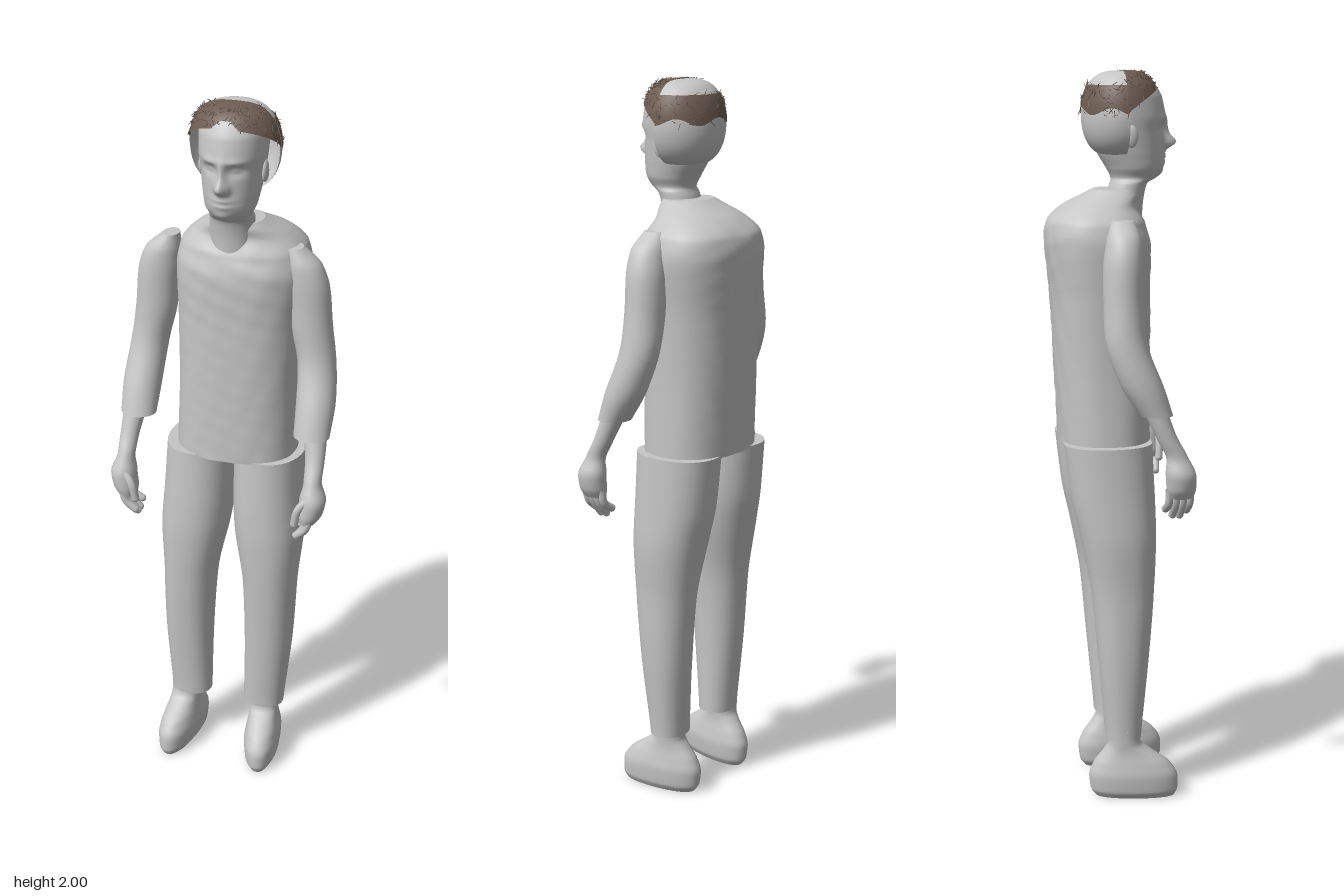
import * as THREE from 'three';
import { mergeGeometries } from 'three/addons/utils/BufferGeometryUtils.js';

const plaster = new THREE.MeshStandardMaterial({ color: 0xc6c6c6, side: THREE.DoubleSide });
plaster.name = 'plaster grey';
const hairBrown = new THREE.MeshStandardMaterial({ color: 0x6e5d53, side: THREE.DoubleSide });
hairBrown.name = 'hair brown';

// Smooth grid surface from point(u, v); u runs around, v runs upward
function surface(point, nu, nv, closed) {
  const pos = [], idx = [], cols = closed ? nu : nu + 1;
  for (let i = 0; i <= nv; i++)
    for (let j = 0; j < cols; j++) pos.push(...point(j / nu, i / nv));
  for (let i = 0; i < nv; i++)
    for (let j = 0; j < nu; j++) {
      const a = i * cols + j, b = i * cols + (j + 1) % cols;
      idx.push(a, b, a + cols, b, b + cols, a + cols);
    }
  const g = new THREE.BufferGeometry();
  g.setAttribute('position', new THREE.Float32BufferAttribute(pos, 3));
  g.setIndex(idx);
  g.computeVertexNormals();
  return g;
}

// Body form through superellipse sections [y, x, z, rx, rz], listed bottom to top
function loft(sections, { segs = 32, steps = 5, power = 2, side = 1, bump } = {}) {
  const mid = new THREE.CatmullRomCurve3(sections.map(([y, x, z]) => new THREE.Vector3(x * side, y, z)));
  const rad = new THREE.CatmullRomCurve3(sections.map((s) => new THREE.Vector3(s[3], s[4], 0)));
  const bend = (v) => Math.sign(v) * Math.abs(v) ** (2 / power);
  const point = (u, v) => {
    const c = mid.getPoint(v), r = rad.getPoint(v), a = u * Math.PI * 2;
    const p = [c.x + r.x * bend(Math.sin(a)), c.y, c.z + r.y * bend(Math.cos(a))];
    if (bump) bump(p, c);
    return p;
  };
  const cap = (v) => surface((u, t) => {
    const p = point(u, v), c = mid.getPoint(v), k = v ? 1 - t : t;
    return [c.x + (p[0] - c.x) * k, p[1], c.z + (p[2] - c.z) * k];
  }, segs, 1, true);
  return mergeGeometries([surface(point, segs, steps * (sections.length - 1), true), cap(0), cap(1)]);
}

// Rounded finger along a short path
function finger(points, r, side) {
  const pts = points.map(([x, y, z]) => new THREE.Vector3(x * side, y, z));
  const tip = new THREE.SphereGeometry(r, 10, 8);
  const end = pts[pts.length - 1];
  tip.translate(end.x, end.y, end.z);
  return mergeGeometries([new THREE.TubeGeometry(new THREE.CatmullRomCurve3(pts), 8, r, 10), tip]);
}

// Boxy skull dome: a turns from the front, p is the elevation, s the scale
function dome(a, p, s = 1) {
  const r = Math.max(Math.cos(p), 0) ** 0.6 * s, h = Math.sin(p);
  return [0.015 + 0.12 * r * Math.sin(a), 1.88 + (h > 0 ? 0.118 : 0.11) * h * s, 0.025 + 0.108 * r * Math.cos(a)];
}

// Facial relief: [x, y, width, height, depth]
const face = [
  [0, 1.808, 0.011, 0.012, 0.03], [0, 1.838, 0.008, 0.022, 0.015],
  [0.013, 1.802, 0.006, 0.007, 0.008], [-0.013, 1.802, 0.006, 0.007, 0.008],
  [0, 1.763, 0.02, 0.011, 0.01], [0, 1.763, 0.02, 0.003, -0.007],
  [0.034, 1.85, 0.015, 0.01, -0.011], [-0.034, 1.85, 0.015, 0.01, -0.011],
  [0.034, 1.85, 0.008, 0.005, 0.006], [-0.034, 1.85, 0.008, 0.005, 0.006],
  [0.034, 1.873, 0.016, 0.006, 0.005], [-0.034, 1.873, 0.016, 0.006, 0.005],
  [0, 1.728, 0.016, 0.01, 0.007],
];

export function createModel() {
  const model = new THREE.Group();
  const add = (name, geometry, material = plaster) => {
    const m = new THREE.Mesh(geometry, material);
    m.name = name;
    model.add(m);
    return m;
  };
  let seed = 7;
  const rand = () => (seed = (seed * 16807) % 2147483647) / 2147483647;

  // Shirt with soft wrinkles
  add('shirt', loft([
    [1.0, 0.008, -0.025, 0.168, 0.125], [1.2, 0.012, -0.03, 0.165, 0.13],
    [1.4, 0.015, -0.035, 0.17, 0.135], [1.54, 0.02, -0.041, 0.18, 0.142],
    [1.6, 0.02, -0.045, 0.168, 0.13], [1.64, 0.02, -0.035, 0.13, 0.1],
    [1.67, 0.017, -0.005, 0.09, 0.075], [1.685, 0.015, 0.008, 0.072, 0.06],
  ], {
    segs: 64, steps: 8, power: 2.4,
    bump: (p, c) => {
      const w = 1 + 0.012 * Math.sin(p[0] * 60 + p[1] * 35) * Math.sin(p[1] * 70 - p[0] * 25);
      p[2] = c.z + (p[2] - c.z) * w;
    },
  }));

  // Head and neck with sculpted face
  add('head', loft([
    [1.6, 0.01, 0.03, 0.058, 0.05], [1.66, 0.01, 0.035, 0.06, 0.05],
    [1.7, 0.013, 0.045, 0.06, 0.051], [1.715, 0.015, 0.058, 0.056, 0.062],
    [1.74, 0.015, 0.06, 0.067, 0.076], [1.78, 0.015, 0.05, 0.075, 0.09],
    [1.84, 0.015, 0.04, 0.083, 0.1], [1.88, 0.015, 0.037, 0.088, 0.108],
    [1.93, 0.015, 0.03, 0.09, 0.105], [1.97, 0.015, 0.025, 0.078, 0.085],
    [1.988, 0.015, 0.025, 0.04, 0.04],
  ], {
    segs: 112, steps: 8,
    bump: (p, c) => {
      if (p[2] < c.z) return;
      for (const [x, y, w, h, d] of face)
        p[2] += d * Math.exp(-(((p[0] - 0.015 - x) / w) ** 2 + ((p[1] - y) / h) ** 2) / 2);
    },
  }));

  // Shell behind the skull, open to the front
  add('headShell', surface((u, v) => dome(Math.PI * (0.48 + 1.04 * u), -1.25 + 2.82 * v), 40, 24));

  // Hair: arched front cap and a band around the back
  const hairline = (a) => 0.06 + 0.6 * Math.max(Math.cos(a), 0) ** 0.8;
  add('frontHair', surface((u, v) => {
    const a = Math.PI * (u - 0.5), p0 = hairline(a);
    return dome(a, p0 + (1.57 - p0) * v, 1.01);
  }, 36, 12), hairBrown);
  add('backHair', surface((u, v) => dome(Math.PI * (0.5 + u), 0.03 + 0.16 * Math.sin(u * 9) ** 2 * (1 - v) + 0.72 * v, 1.02), 36, 8), hairBrown);

  // Loose strands lying across the hair
  const strands = [];
  for (let i = 0; i < 260; i++) {
    const front = i % 5 < 3;
    const a = Math.PI * (front ? rand() - 0.5 : 0.5 + rand());
    const low = front ? hairline(a) : 0.05;
    const p = low + rand() * ((front ? 1.3 : 0.75) - low);
    const from = new THREE.Vector3(...dome(a, p, 1.015));
    const to = new THREE.Vector3(...dome(a + (rand() - 0.5) * 0.35, p + (rand() - 0.5) * 0.3, 1.02 + rand() * 0.06));
    to.y = Math.min(to.y, 1.999);
    const g = new THREE.CylinderGeometry(0.0006, 0.0013, from.distanceTo(to), 4);
    const q = new THREE.Quaternion().setFromUnitVectors(new THREE.Vector3(0, 1, 0), to.clone().sub(from).normalize());
    const c = from.add(to).multiplyScalar(0.5);
    strands.push(g.applyQuaternion(q).translate(c.x, c.y, c.z));
  }
  add('hairStrands', mergeGeometries(strands), hairBrown);

  for (const side of [1, -1]) {
    const label = side > 0 ? 'left' : 'right';

    const ear = add(label + 'Ear', new THREE.SphereGeometry(1, 16, 12));
    ear.scale.set(0.009, 0.03, 0.018);
    ear.position.set(0.015 + side * 0.084, 1.828, 0.04);

    // Bent sleeve
    add(label + 'Sleeve', loft([
      [1.11, 0.246, 0.078, 0.049, 0.044], [1.2, 0.245, 0.035, 0.053, 0.057],
      [1.3, 0.235, 0, 0.052, 0.055], [1.4, 0.217, -0.005, 0.057, 0.053],
      [1.5, 0.207, -0.004, 0.058, 0.053], [1.57, 0.193, 0, 0.049, 0.046],
      [1.615, 0.17, 0, 0.022, 0.03],
    ], { side }));

    // Forearm, palm and fingers
    add(label + 'Hand', loft([
      [0.885, 0.258, 0.143, 0.024, 0.034], [0.91, 0.264, 0.143, 0.034, 0.04],
      [0.95, 0.27, 0.141, 0.036, 0.041], [1.0, 0.266, 0.13, 0.024, 0.029],
      [1.05, 0.264, 0.104, 0.026, 0.028], [1.13, 0.255, 0.07, 0.033, 0.033],
    ], { side, segs: 24 }));
    [0.111, 0.13, 0.149, 0.167].forEach((z, i) => {
      const tip = [0.85, 0.833, 0.832, 0.845][i];
      add(label + 'Finger', finger([[0.268, 0.91, z], [0.258, 0.87, z], [0.232, tip, z - 0.004]], 0.011, side));
    });
    add(label + 'Thumb', finger([[0.262, 0.96, 0.165], [0.238, 0.93, 0.174], [0.228, 0.885, 0.172]], 0.011, side));

    // Trouser leg, leaning slightly to the right at the hem
    const lean = (y) => -0.02 * side * (1 - y) + 0.005 * side;
    add(label + 'TrouserLeg', loft([
      [0.17, 0.111, 0.01, 0.059, 0.05], [0.2, 0.112, 0.01, 0.06, 0.052],
      [0.4, 0.12, 0.01, 0.069, 0.07], [0.6, 0.118, 0.008, 0.077, 0.087],
      [0.75, 0.109, -0.003, 0.096, 0.105], [0.85, 0.102, -0.015, 0.099, 0.115],
      [1.005, 0.098, -0.028, 0.097, 0.121],
    ].map(([y, x, ...rest]) => [y, x + lean(y), ...rest]), { side, power: 2.2 }));

    // Shoe turned slightly outward
    const shoe = add(label + 'Shoe', loft([
      [0, 0, 0.042, 0.036, 0.11], [0.02, 0, 0.039, 0.048, 0.122], [0.06, 0, 0.036, 0.052, 0.124],
      [0.1, 0, 0.03, 0.047, 0.104], [0.13, 0, 0.02, 0.042, 0.07], [0.155, 0, 0.012, 0.042, 0.046],
      [0.2, 0, 0.01, 0.044, 0.04],
    ], { power: 2.2 }));
    shoe.position.x = side > 0 ? 0.1 : -0.138;
    shoe.rotation.y = side * 0.14;
  }
  return model;
}
